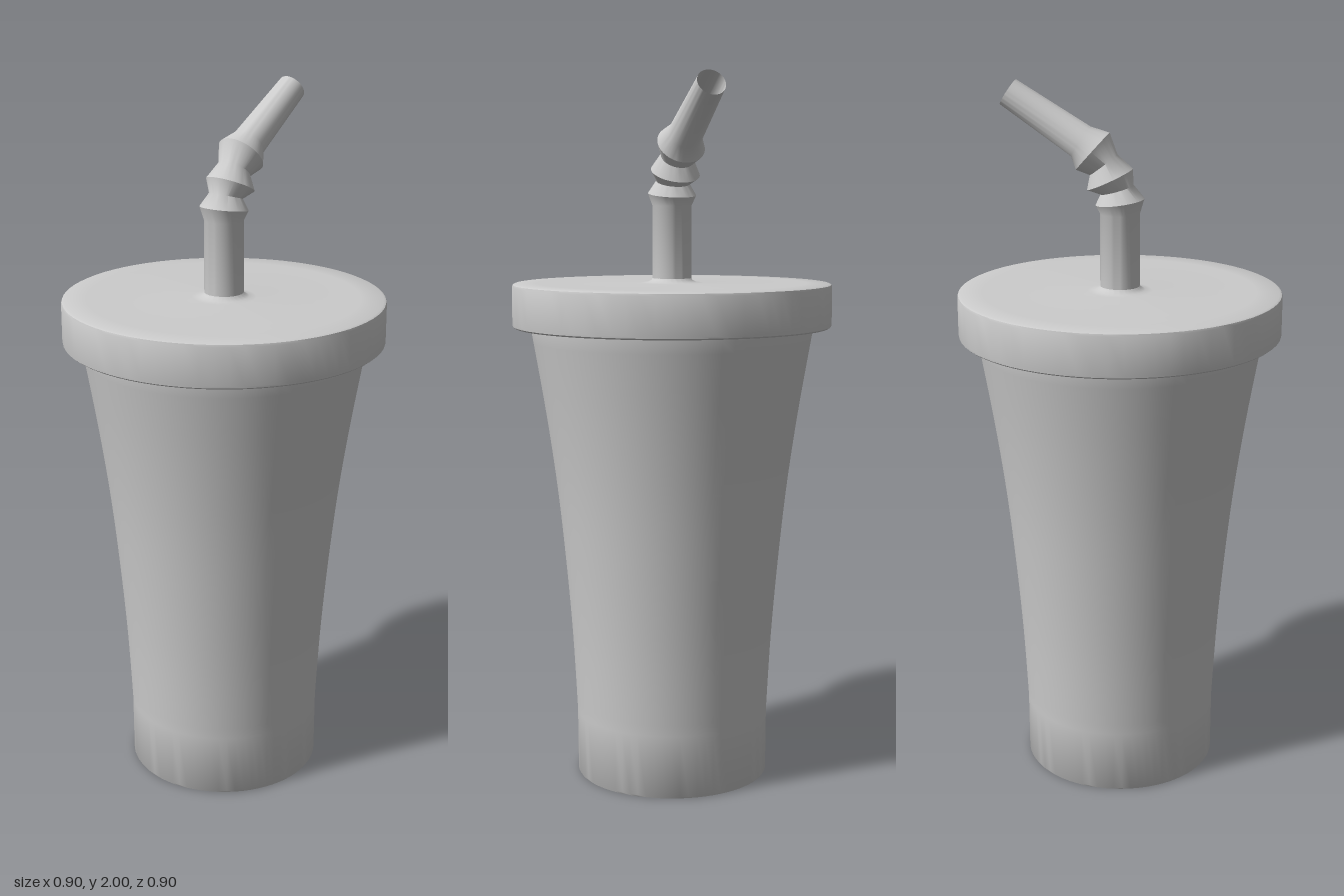
import * as THREE from 'three';
import { toCreasedNormals } from 'three/addons/utils/BufferGeometryUtils.js';

const material = new THREE.MeshStandardMaterial({ color: 0xcccccc });
const thinMaterial = new THREE.MeshStandardMaterial({ color: 0xcccccc, side: THREE.DoubleSide });

const v2 = ([x, y]) => new THREE.Vector2(x, y);

// Revolved part; profile runs from the underside, outwards and up to the top
function lathe(name, points) {
  const geometry = toCreasedNormals(new THREE.LatheGeometry(points, 72), 0.7);
  const mesh = new THREE.Mesh(geometry, material);
  mesh.name = name;
  return mesh;
}

// Tube through round sections [x, y, tilt in degrees from vertical, radius]
function sectionTube(sections, sides) {
  const position = [], index = [];
  sections.forEach(([x, y, degrees, r], i) => {
    const t = THREE.MathUtils.degToRad(degrees);
    for (let j = 0; j < sides; j++) {
      const a = (j / sides) * Math.PI * 2;
      const u = r * Math.cos(a);
      position.push(x + u * Math.cos(t), y - u * Math.sin(t), r * Math.sin(a));
      if (i === sections.length - 1) continue;
      const k = (j + 1) % sides, row = i * sides, next = row + sides;
      index.push(row + j, next + j, next + k, row + j, next + k, row + k);
    }
  });
  const geometry = new THREE.BufferGeometry();
  geometry.setAttribute('position', new THREE.Float32BufferAttribute(position, 3));
  geometry.setIndex(index);
  return toCreasedNormals(geometry, 0.75);
}

export function createModel() {
  const model = new THREE.Group();
  model.name = 'drinkCup';

  // Flared cup with a recessed base
  const wall = new THREE.SplineCurve([
    [0.276, 0.18], [0.288, 0.4], [0.306, 0.62], [0.329, 0.84], [0.36, 1.06], [0.399, 1.29],
  ].map(v2)).getPoints(24);
  model.add(lathe('cup', [
    ...[[0, 0.1], [0.22, 0.1], [0.238, 0.088], [0.25, 0.008], [0.255, 0], [0.272, 0], [0.275, 0.005]].map(v2),
    ...wall,
    ...[[0.399, 1.31], [0, 1.31]].map(v2),
  ]));

  // Lid with a deep rim and a small fillet where the straw enters
  model.add(lathe('lid', [
    [0.39, 1.3], [0.446, 1.3], [0.451, 1.304], [0.452, 1.31], [0.452, 1.414],
    [0.45, 1.42], [0.444, 1.423], [0.38, 1.424], [0.09, 1.424], [0.07, 1.426], [0.058, 1.432], [0.05, 1.445],
  ].map(v2)));

  // Bendy straw: upright tube, three bellows ridges, tapered mouthpiece
  const straw = new THREE.Mesh(sectionTube([
    [0, 1.41, 0, 0.055],
    [0, 1.64, 0, 0.055],
    [0, 1.672, 8, 0.068],
    [0.008, 1.705, 16, 0.047],
    [0.028, 1.733, 25, 0.069],
    [0.045, 1.772, 37, 0.047],
    [0.075, 1.808, 48, 0.068],
    [0.108, 1.834, 57, 0.048],
    [0.307, 1.963, 57, 0.04],
  ], 40), thinMaterial);
  straw.name = 'straw';
  model.add(straw);

  return model;
}
